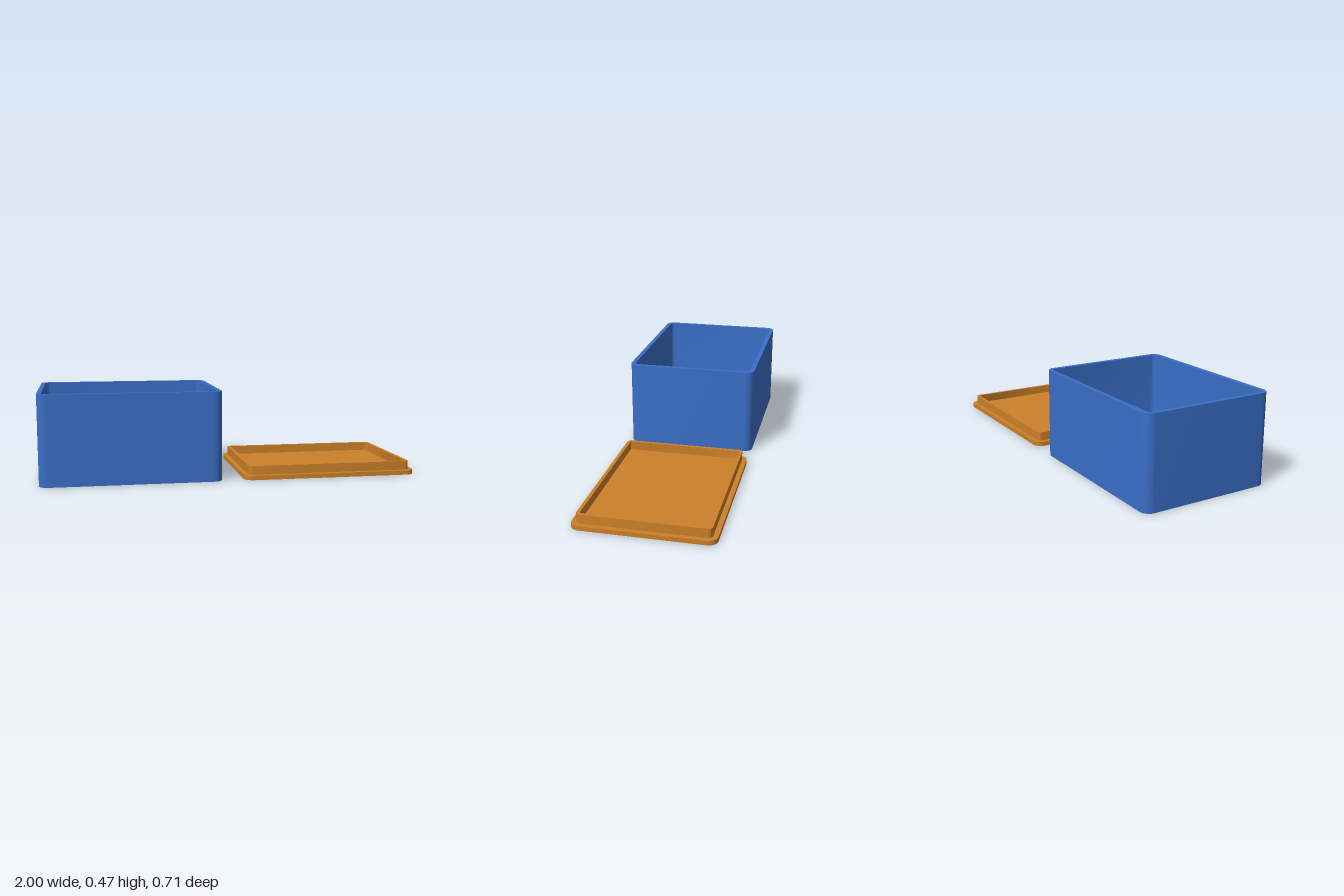
import * as THREE from 'three';
import { toCreasedNormals } from 'three/addons/utils/BufferGeometryUtils.js';

const WIDTH = 0.941, DEPTH = 0.706, HEIGHT = 0.471;
const CORNER = 0.047, WALL = 0.0235, STEPS = 10;

// One rounded-rectangle ring, moved inwards by inset
function ring(inset, y) {
  const r = Math.max(CORNER - inset, 0.001);
  const cx = WIDTH / 2 - inset - r, cz = DEPTH / 2 - inset - r;
  const signs = [[1, 1], [-1, 1], [-1, -1], [1, -1]];
  const points = [];
  signs.forEach(([sx, sz], corner) => {
    for (let i = 0; i <= STEPS; i++) {
      const t = (corner + i / STEPS) * Math.PI / 2;
      points.push([sx * cx + r * Math.cos(t), y, sz * cz + r * Math.sin(t)]);
    }
  });
  return points;
}

// Skin over a profile of [inset, y], from the underside round to the inner floor
function shell(profile) {
  const rings = profile.map(([inset, y]) => ring(inset, y));
  const n = rings[0].length, last = rings.length - 1;
  const vertices = rings.flat();
  const bottom = vertices.push([0, profile[0][1], 0]) - 1;
  const floor = vertices.push([0, profile[last][1], 0]) - 1;
  const index = [];
  for (let j = 0; j < n; j++) {
    const k = (j + 1) % n;
    for (let i = 0; i < last; i++) {
      const a = i * n + j, b = i * n + k, c = a + n, d = b + n;
      index.push(a, c, b, b, c, d);
    }
    index.push(bottom, j, k);
    index.push(floor, last * n + k, last * n + j);
  }
  const geometry = new THREE.BufferGeometry();
  geometry.setAttribute('position', new THREE.Float32BufferAttribute(vertices.flat(), 3));
  geometry.setIndex(index);
  return toCreasedNormals(geometry, 0.7);
}

function part(name, color, profile, x) {
  const mesh = new THREE.Mesh(shell(profile), new THREE.MeshStandardMaterial({ color }));
  mesh.name = name;
  mesh.position.x = x;
  return mesh;
}

export function createModel() {
  const group = new THREE.Group();
  group.name = 'boxWithLid';
  const x = 1 - WIDTH / 2;

  // Open box with a rounded edge where the inner walls meet the floor
  const boxProfile = [[0, 0], [0, HEIGHT], [WALL, HEIGHT]];
  const fillet = 0.022;
  for (let i = 0; i <= 6; i++) {
    const t = i / 6 * Math.PI / 2;
    boxProfile.push([WALL + fillet * (1 - Math.cos(t)), WALL + fillet * (1 - Math.sin(t))]);
  }
  group.add(part('box', 0x3a6fc8, boxProfile, -x));

  // Lid lying upside down: plate with a raised lip
  const lipOuter = 0.0255, lipInner = 0.043, lipTop = 0.0706;
  group.add(part('lid', 0xcc8029, [
    [0, 0], [0, WALL], [lipOuter, WALL], [lipOuter, lipTop],
    [lipInner, lipTop], [lipInner, WALL],
  ], x));

  return group;
}
